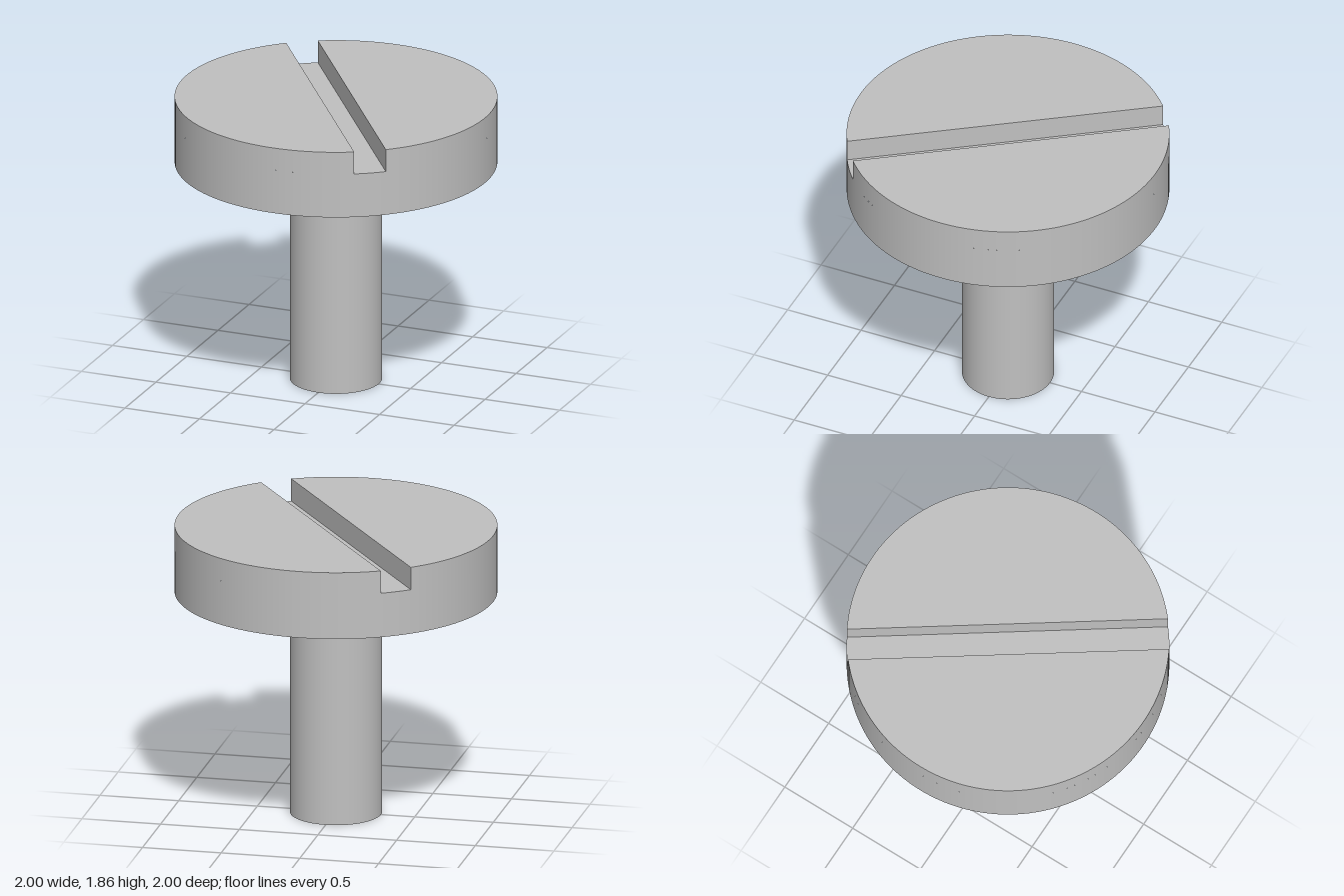
import * as THREE from 'three';

export function createModel() {
  const R = 1, SHAFT_R = 0.286, BASE = 1.43, FLOOR = 1.715, TOP = 1.86, HALF_SLOT = 0.1;
  const a = Math.asin(HALF_SLOT / R); // half angle of the slot mouth
  const steel = new THREE.MeshStandardMaterial({ color: 0xc0c0c0 });
  steel.name = 'steel grey';

  const model = new THREE.Group();
  model.name = 'slottedScrew';
  const add = (parent, name, geometry, y) => {
    const mesh = new THREE.Mesh(geometry, steel);
    mesh.name = name;
    mesh.position.y = y;
    parent.add(mesh);
    return mesh;
  };
  const flatUp = (shape) => new THREE.ShapeGeometry(shape, 64).rotateX(-Math.PI / 2);

  // Shaft with its flat end
  add(model, 'shaft', new THREE.CylinderGeometry(SHAFT_R, SHAFT_R, BASE, 64, 1, true), BASE / 2);
  add(model, 'shaftEnd', new THREE.CircleGeometry(SHAFT_R, 64).rotateX(Math.PI / 2), 0);

  // Head below the slot
  const head = new THREE.Group();
  head.name = 'head';
  head.rotation.y = -0.963; // slot runs diagonally
  model.add(head);
  add(head, 'headUnderside', new THREE.RingGeometry(SHAFT_R, R, 128).rotateX(Math.PI / 2), BASE);
  add(head, 'headRim', new THREE.CylinderGeometry(R, R, FLOOR - BASE, 128, 1, true), (BASE + FLOOR) / 2);

  // Slot floor, a strip with rounded ends
  const strip = new THREE.Shape();
  strip.absarc(0, 0, R, -a, a);
  strip.absarc(0, 0, R, Math.PI - a, Math.PI + a);
  add(head, 'slotFloor', flatUp(strip), FLOOR);

  // Two raised halves on either side of the slot
  const segment = new THREE.Shape();
  segment.absarc(0, 0, R, Math.PI + a, 2 * Math.PI - a);
  const h = TOP - FLOOR, mid = (TOP + FLOOR) / 2;
  for (const side of ['first', 'second']) {
    const half = new THREE.Group();
    half.name = side + 'HeadHalf';
    half.rotation.y = side === 'first' ? 0 : Math.PI;
    head.add(half);
    add(half, 'halfTop', flatUp(segment), TOP);
    add(half, 'halfRim',
      new THREE.CylinderGeometry(R, R, h, 64, 1, true, a - Math.PI / 2, Math.PI - 2 * a), mid);
    const wall = add(half, 'slotWall',
      new THREE.PlaneGeometry(2 * R * Math.cos(a), h).rotateY(Math.PI), mid);
    wall.position.z = HALF_SLOT;
  }
  return model;
}
